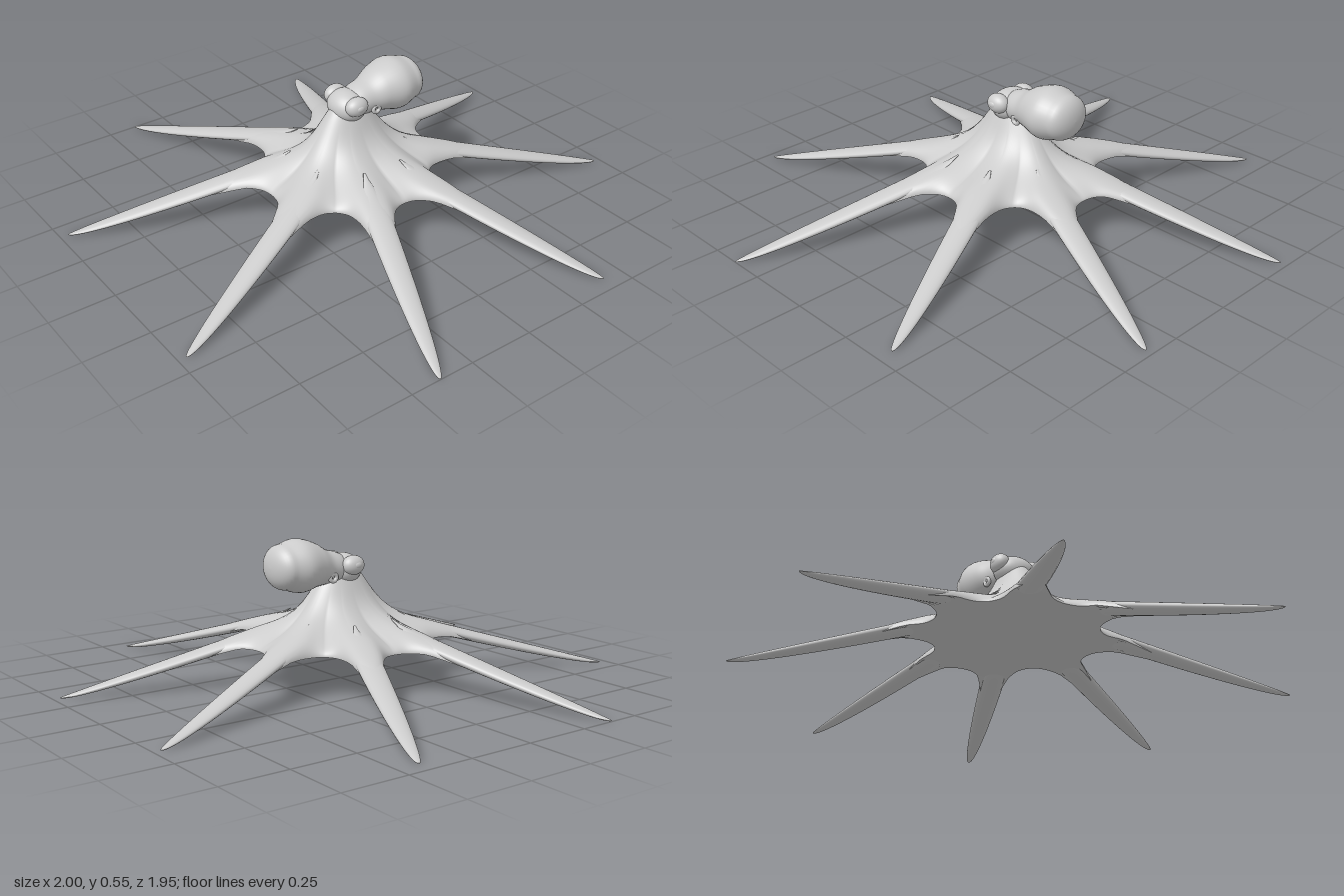
import * as THREE from 'three';

const { smoothstep, lerp } = THREE.MathUtils;
const material = new THREE.MeshStandardMaterial({ color: 0xcccccc });

// Arm tips (x, z), ordered by angle around the body
const TIPS = [[1, 0.385], [0.43, 0.97], [-0.43, 0.97], [-1, 0.385],
  [-0.945, -0.415], [-0.37, -0.975], [0.37, -0.975], [0.945, -0.415]];
// Web radius midway between each arm and the next
const VALLEYS = [0.325, 0.345, 0.325, 0.33, 0.31, 0.365, 0.31, 0.33];

// Height of the upper surface at distance r from the body axis
const height = r => 0.305 - 0.283 * r + 0.17 * Math.exp(-Math.pow(r / 0.14, 2.2));

// Smooth surface over a grid whose columns wrap around
function wrapGrid(rows, cols, point) {
  const pos = [], index = [];
  for (let i = 0; i < rows; i++)
    for (let j = 0; j < cols; j++) pos.push(...point(i, j));
  for (let i = 0; i < rows - 1; i++)
    for (let j = 0; j < cols; j++) {
      const k = (j + 1) % cols;
      const a = i * cols + j, b = i * cols + k;
      index.push(a, b, b + cols, a, b + cols, a + cols);
    }
  const g = new THREE.BufferGeometry();
  g.setAttribute('position', new THREE.Float32BufferAttribute(pos, 3));
  g.setIndex(index);
  g.computeVertexNormals();
  return g;
}

// Elliptical sections { x, y, z, w, h } lofted along a horizontal direction
function loft(sections, dx, dz, sides = 20) {
  return wrapGrid(sections.length, sides, (i, j) => {
    const s = sections[i], a = j / sides * Math.PI * 2;
    const across = Math.cos(a) * s.w;
    return [s.x + dz * across, s.y + Math.sin(a) * s.h, s.z - dx * across];
  });
}

// Skirt: neck and web in one closed surface, upper side then underside
function webGeometry() {
  const per = 24, n = 34, cols = 8 * per;
  const angles = TIPS.map(([x, z]) => Math.atan2(z, x));
  return wrapGrid(2 * n + 2, cols, (i, j) => {
    const arm = Math.floor(j / per), f = (j % per) / per;
    const a0 = angles[arm];
    let span = angles[(arm + 1) % 8] - a0;
    if (span < 0) span += Math.PI * 2;
    const a = a0 + span * f;
    const u = 1 - Math.abs(1 - 2 * f);
    const v = VALLEYS[arm];
    const edge = v + (0.6 - v) * Math.exp(-Math.pow(u / 0.33, 1.5));
    const under = i > n;
    const s = Math.sin((under ? 2 * n + 1 - i : i) / n * Math.PI / 2);
    const r = s * edge;
    const bottom = Math.min(0.155, height(r) - 0.035);
    const top = height(r) - 0.025 * smoothstep(r, 0.1, 0.3) * u * u;
    const y = under ? bottom : bottom + (top - bottom) * Math.sqrt(Math.max(0, 1 - s ** 8));
    const narrow = lerp(0.64, 1, smoothstep(r, 0.12, 0.33));
    return [Math.cos(a) * r * narrow, y, Math.sin(a) * r];
  });
}

// Arm: flattened tapering limb sloping down to the ground
function armGeometry([tx, tz]) {
  const len = Math.hypot(tx, tz), dx = tx / len, dz = tz / len, sections = [];
  for (let i = 0; i <= 40; i++) {
    const r = lerp(0.22, len, Math.sin(i / 40 * Math.PI / 2));
    const t = Math.max(0, (r - 0.3) / (len - 0.3));
    const w = 0.05 * Math.sqrt(Math.max(0, 1 - t ** 1.6)) * smoothstep(r, 0.18, 0.4);
    const h = w * 0.45;
    sections.push({ x: dx * r, y: height(r * 1.065 / len) - h, z: dz * r, w, h });
  }
  return loft(sections, dx, dz);
}

// Mantle: bulb reaching backwards from the head
function mantleGeometry() {
  const curve = new THREE.CatmullRomCurve3([
    [0.04, 0.43, 0.03], [-0.03, 0.43, 0.066], [-0.08, 0.437, 0.075],
    [-0.13, 0.449, 0.094], [-0.2, 0.452, 0.113], [-0.26, 0.453, 0.096],
  ].map(p => new THREE.Vector3(...p)));
  const sections = curve.getPoints(30).map(p => ({
    x: 0, y: p.y, z: p.x, w: p.z, h: p.z * 0.88,
  }));
  // Rounded rear end
  for (let i = 1; i <= 10; i++) {
    const a = i / 10 * Math.PI / 2;
    const c = Math.pow(Math.cos(a), 0.9);
    sections.push({ x: 0, y: 0.453, z: -0.26 - 0.057 * Math.sin(a), w: 0.096 * c, h: 0.0845 * c });
  }
  // Rows swell gently between the two curves
  return loft(sections, 0, -1, 36);
}

export function createModel() {
  const group = new THREE.Group();
  const add = (name, geometry, position = [0, 0, 0], scale = [1, 1, 1]) => {
    const mesh = new THREE.Mesh(geometry, material);
    mesh.name = name;
    mesh.position.set(...position);
    mesh.scale.set(...scale);
    group.add(mesh);
    return mesh;
  };

  add('web', webGeometry());
  TIPS.forEach((tip, i) => add('arm' + (i + 1), armGeometry(tip)));
  add('mantle', mantleGeometry());

  // Head with a bulging eye and a small siphon on each side
  const ball = new THREE.SphereGeometry(1, 32, 20);
  add('head', ball, [0, 0.422, 0.005], [0.082, 0.06, 0.068]);
  for (const side of [1, -1]) {
    const label = side > 0 ? 'left' : 'right';
    add(label + 'Eye', ball, [side * 0.066, 0.442, 0.008], [0.034, 0.037, 0.046]);
    add(label + 'Pupil', ball, [side * 0.093, 0.444, 0.01], [0.009, 0.013, 0.018]);
    const siphon = add(label + 'Siphon', new THREE.TorusGeometry(0.014, 0.008, 12, 24),
      [side * 0.066, 0.405, -0.083]);
    siphon.rotation.y = side * Math.PI / 2;
  }
  return group;
}
